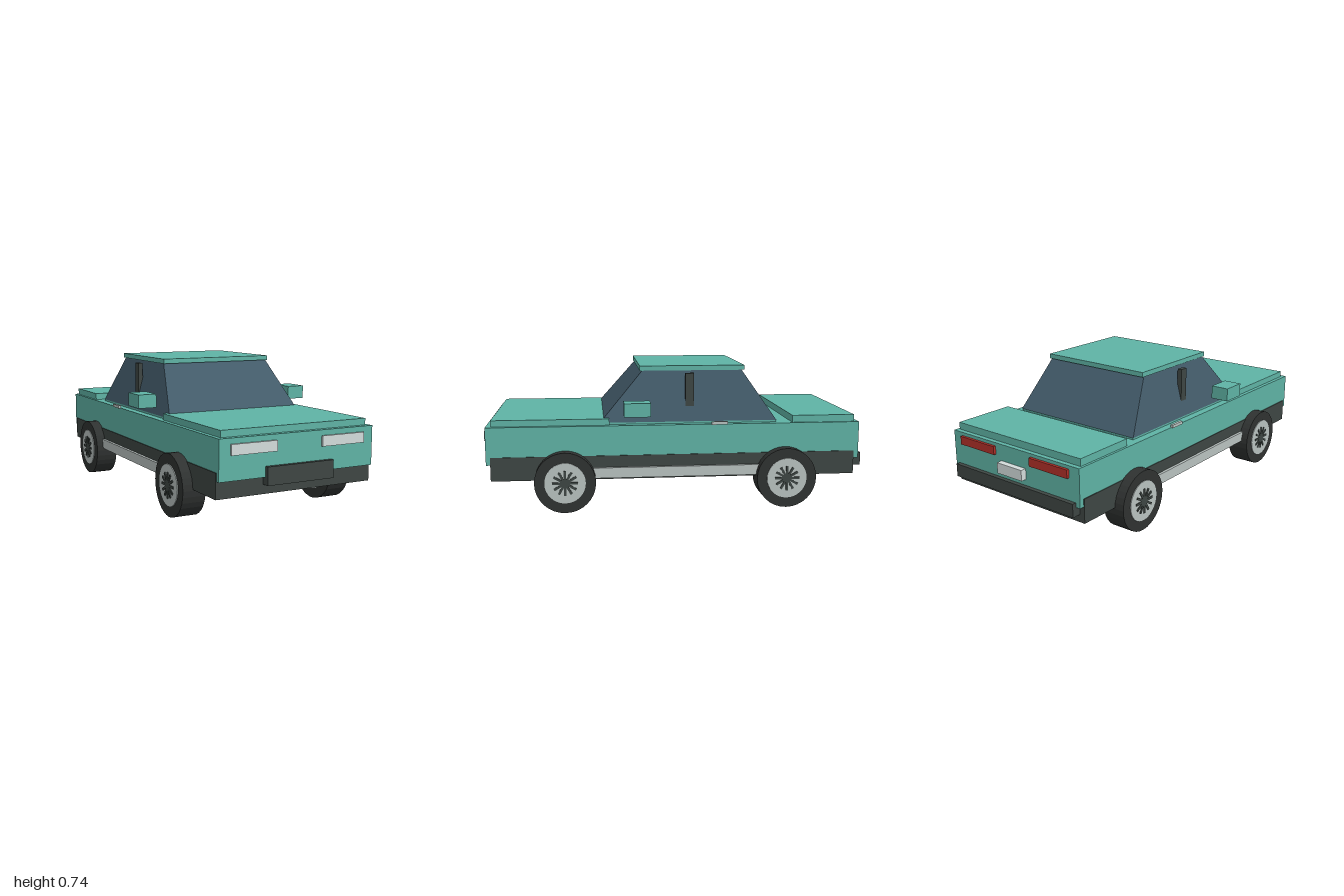
import * as THREE from 'three';

const mat = (color) => new THREE.MeshStandardMaterial({ color, flatShading: true });

export function createModel() {
  const car = new THREE.Group();
  car.name = 'car';

  const paint = mat(0x5fb3a5), glass = mat(0x435b6a), trim = mat(0x3e4643), rubber = mat(0x2f3231);
  const silver = mat(0xb9c2c0), lamp = mat(0xd3dcdb), red = mat(0xb03028);

  // Box given by its limits on each axis
  const box = (name, material, [x0, x1], [y0, y1], [z0, z1], parent = car) => {
    const mesh = new THREE.Mesh(new THREE.BoxGeometry(x1 - x0, y1 - y0, z1 - z0), material);
    mesh.position.set((x0 + x1) / 2, (y0 + y1) / 2, (z0 + z1) / 2);
    mesh.name = name;
    parent.add(mesh);
    return mesh;
  };
  // The same box on the left (+x) and right (-x)
  const pair = (name, material, [x0, x1], y, z) => {
    box(name + 'Left', material, [x0, x1], y, z);
    box(name + 'Right', material, [-x1, -x0], y, z);
  };

  // Body shell
  box('body', paint, [-0.425, 0.425], [0.245, 0.44], [-0.97, 0.98]);
  box('underbody', trim, [-0.429, 0.429], [0.162, 0.285], [-0.945, 0.958]);
  box('hood', paint, [-0.403, 0.403], [0.43, 0.473], [0.35, 0.953]);
  box('trunkLid', paint, [-0.412, 0.412], [0.43, 0.477], [-0.945, -0.612]);

  // Glass cabin: a box narrowed towards the roof
  const cabinGeo = new THREE.BoxGeometry(2, 1, 2);
  const p = cabinGeo.attributes.position;
  for (let i = 0; i < p.count; i++) {
    const top = p.getY(i) > 0;
    const halfWidth = top ? 0.314 : 0.386;
    const z = p.getZ(i) > 0 ? (top ? 0.17 : 0.398) : (top ? -0.352 : -0.532);
    p.setXYZ(i, p.getX(i) * halfWidth, top ? 0.715 : 0.45, z);
  }
  cabinGeo.computeVertexNormals();
  const cabin = new THREE.Mesh(cabinGeo, glass);
  cabin.name = 'cabinGlass';
  car.add(cabin);
  box('cabinBase', paint, [-0.384, 0.384], [0.43, 0.452], [-0.53, 0.394]);
  box('roof', paint, [-0.32, 0.32], [0.711, 0.736], [-0.37, 0.186]);

  // Side details
  pair('doorPillar', trim, [0.34, 0.365], [0.525, 0.7], [-0.094, -0.05]);
  pair('mirror', paint, [0.406, 0.505], [0.495, 0.565], [0.142, 0.277]);
  pair('doorHandle', silver, [0.42, 0.435], [0.438, 0.454], [-0.264, -0.18]);
  pair('sill', silver, [0.41, 0.444], [0.17, 0.224], [-0.435, 0.435]);

  // Front details
  pair('headlight', lamp, [0.125, 0.367], [0.362, 0.413], [0.96, 0.991]);
  box('grille', trim, [-0.183, 0.183], [0.208, 0.296], [0.95, 1]);

  // Rear details
  pair('tailLight', red, [0.12, 0.362], [0.38, 0.423], [-0.984, -0.96]);
  box('rearBumper', trim, [-0.4, 0.4], [0.2, 0.268], [-0.992, -0.94]);
  box('rearPlate', lamp, [-0.083, 0.083], [0.3, 0.355], [-1, -0.965]);

  // Wheel with its outer face towards +x
  const makeWheel = (name) => {
    const wheel = new THREE.Group();
    wheel.name = name;
    const disc = (part, material, r, x0, x1) => {
      const mesh = new THREE.Mesh(new THREE.CylinderGeometry(r, r, x1 - x0, 32), material);
      mesh.rotation.z = Math.PI / 2;
      mesh.position.x = (x0 + x1) / 2;
      mesh.name = part;
      wheel.add(mesh);
    };
    disc('tire', rubber, 0.157, -0.06, 0.06);
    disc('rim', silver, 0.105, -0.063, 0.064);
    disc('hub', trim, 0.018, 0.05, 0.068);
    // Bars through the hub form the spokes
    for (let i = 0; i < 6; i++) {
      const bar = box('spokeBar', trim, [0.05, 0.068], [-0.065, 0.065], [-0.006, 0.006], wheel);
      bar.rotation.x = (i * Math.PI) / 6;
    }
    return wheel;
  };
  for (const [end, z] of [['front', 0.58], ['rear', -0.572]]) {
    for (const side of [1, -1]) {
      const wheel = makeWheel(end + 'Wheel' + (side > 0 ? 'Left' : 'Right'));
      wheel.position.set(side * 0.421, 0.157, z);
      if (side < 0) wheel.rotation.y = Math.PI;
      car.add(wheel);
    }
  }
  return car;
}
